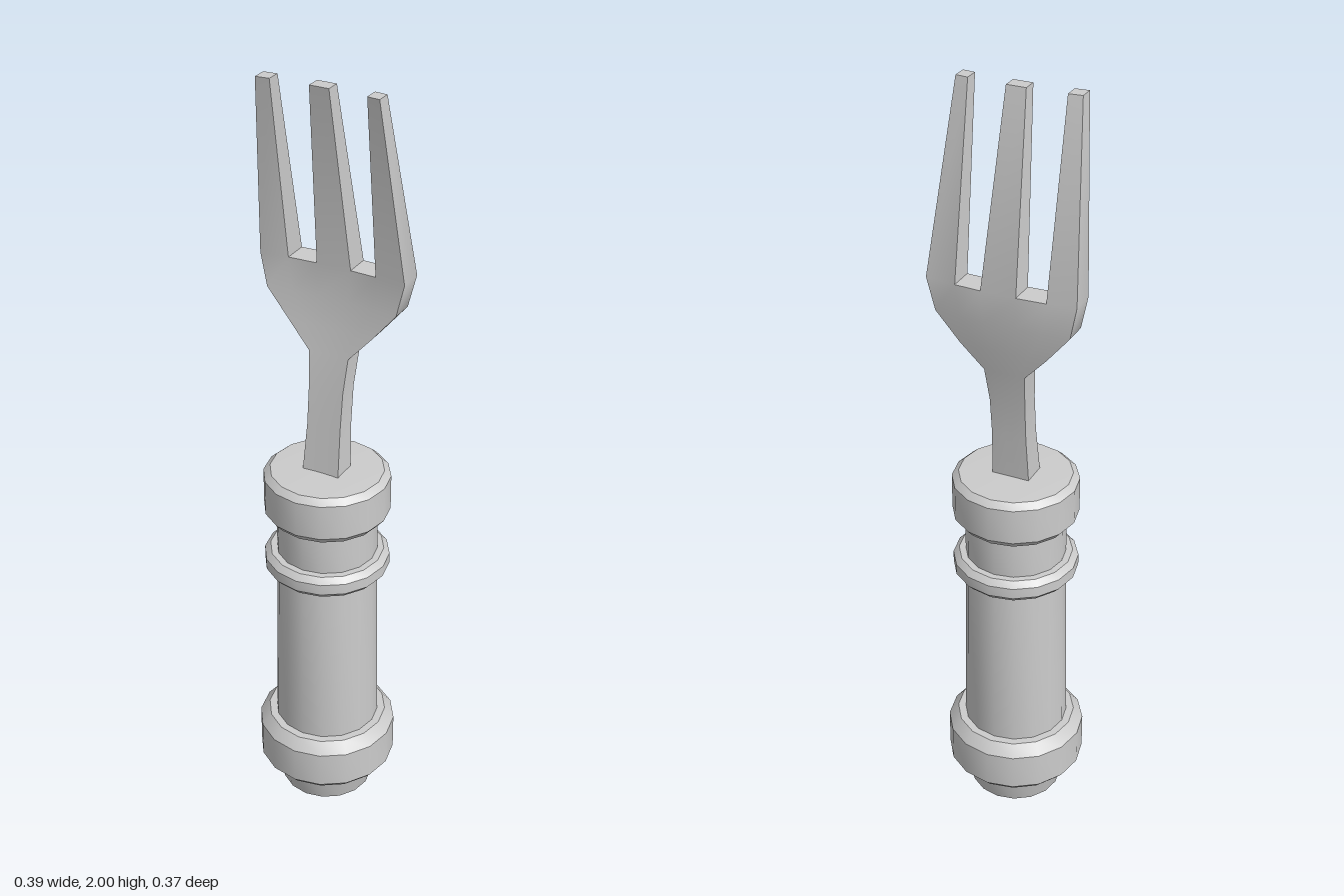
import * as THREE from 'three';
import { mergeGeometries, toCreasedNormals } from 'three/addons/utils/BufferGeometryUtils.js';

const material = new THREE.MeshStandardMaterial({ color: 0xcccccc });

// Row of the fork: height, front z, back z, x of each column edge
const row = (y, front, back, xs) => ({ y, front, back, xs });

// Bar lofted through rows, listed from bottom to top; hidden(face, column) drops buried quads.
// Faces are numbered 0 +x, 1 -x, 2 top, 3 bottom, 4 front, 5 back.
function loft(rows, hidden) {
  const cols = rows[0].xs.length - 1;
  const geo = new THREE.BoxGeometry(1, 1, 1, cols, rows.length - 1, 1);
  const pos = geo.attributes.position;
  for (let i = 0; i < pos.count; i++) {
    const r = rows[Math.round((pos.getY(i) + 0.5) * (rows.length - 1))];
    const x = r.xs[Math.round((pos.getX(i) + 0.5) * cols)];
    // The head is slightly cupped across its width
    const z = (pos.getZ(i) > 0 ? r.front : r.back) + 0.35 * x * x;
    pos.setXYZ(i, x, r.y, z);
  }
  const kept = Array.from(geo.index.array).filter((_, i) => {
    const face = geo.groups.findIndex((g) => i >= g.start && i < g.start + g.count);
    return !hidden(face, Math.floor((i - geo.groups[face].start) / 6));
  });
  geo.setIndex(kept);
  geo.clearGroups();
  return geo;
}

// Evenly spread column edges between two sides
const spread = (a, b) => [0, 1, 2, 3, 4, 5].map((i) => a + ((b - a) * i) / 5);

function createFork() {
  const rootY = 1.535, rootFront = -0.035, rootBack = -0.101;
  const rootXs = [-0.195, -0.122, -0.047, 0.044, 0.112, 0.192];

  // Neck widening into the head; slots stay open on columns 1 and 3
  const body = loft([
    row(0.99, 0.036, -0.032, spread(-0.05, 0.05)),
    row(1.12, 0.018, -0.041, spread(-0.046, 0.046)),
    row(1.22, 0.005, -0.052, spread(-0.048, 0.046)),
    row(1.31, -0.01, -0.069, spread(-0.055, 0.052)),
    row(1.375, -0.022, -0.083, spread(-0.115, 0.11)),
    row(1.45, -0.031, -0.094, [-0.177, -0.11, -0.043, 0.04, 0.104, 0.172]),
    row(rootY, rootFront, rootBack, rootXs),
  ], (face, col) => face === 3 || (face === 2 && col % 2 === 0));

  // Three tapering prongs: index of the left root column and tip edges
  const prongs = [
    [0, [-0.157, -0.122]],
    [2, [-0.024, 0.026]],
    [4, [0.123, 0.155]],
  ].map(([c, tip]) => loft([
    row(rootY, rootFront, rootBack, [rootXs[c], rootXs[c + 1]]),
    row(2, 0.04, 0.003, tip),
  ], (face) => face === 3));

  const fork = new THREE.Mesh(toCreasedNormals(mergeGeometries([body, ...prongs]), 0.6), material);
  fork.name = 'fork';
  return fork;
}

function createHandle() {
  // Turned profile from the butt up to the cap
  const profile = [
    [0, 0], [0.122, 0], [0.143, 0.08],            // butt
    [0.165, 0.08], [0.183, 0.1], [0.183, 0.2], [0.158, 0.23], // lower collar
    [0.138, 0.23], [0.13, 0.7],                   // grip
    [0.147, 0.7], [0.162, 0.716], [0.162, 0.745], [0.147, 0.76], // upper ring
    [0.13, 0.76], [0.13, 0.865],                  // groove
    [0.145, 0.865], [0.162, 0.885], [0.162, 0.98], [0.145, 0.995], [0, 1], // cap
  ].map(([r, y]) => new THREE.Vector2(r, y));
  const handle = new THREE.Mesh(toCreasedNormals(new THREE.LatheGeometry(profile, 16), 0.6), material);
  handle.name = 'handle';
  return handle;
}

export function createModel() {
  const model = new THREE.Group();
  model.name = 'tableFork';
  model.add(createHandle(), createFork());
  return model;
}
